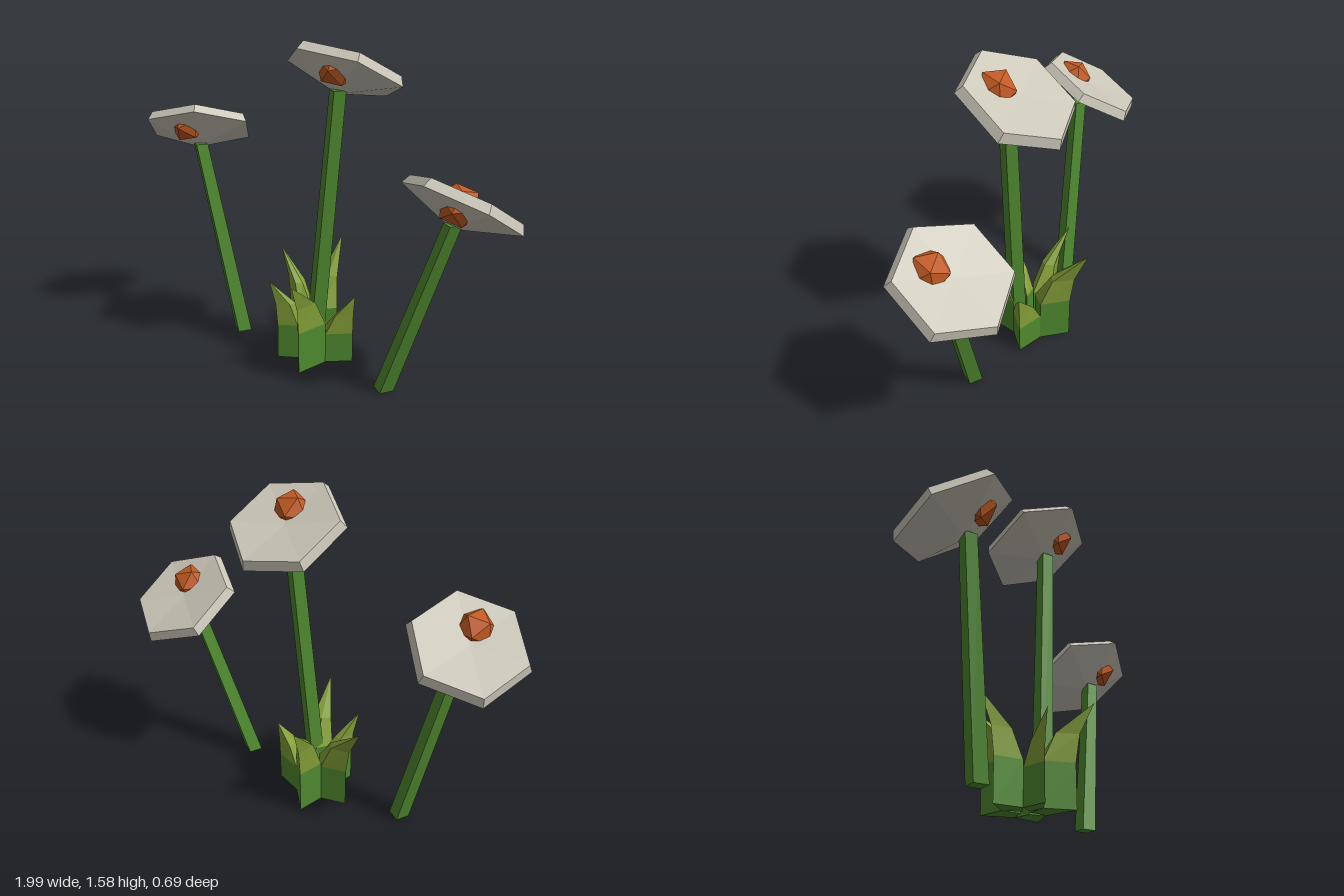
import * as THREE from 'three';

const mat = (name, color) => {
  const m = new THREE.MeshStandardMaterial({ color, flatShading: true });
  m.name = name;
  return m;
};

function addMesh(parent, name, geometry, material) {
  const mesh = new THREE.Mesh(geometry, material);
  mesh.name = name;
  parent.add(mesh);
  return mesh;
}

// Closed solid through rings of points (each ring counter-clockwise from above)
function loft(rings) {
  const n = rings[0].length;
  const pos = rings.flat().flatMap((p) => [p.x, p.y, p.z]);
  const idx = [];
  for (let r = 0; r < rings.length - 1; r++) {
    for (let i = 0; i < n; i++) {
      const a = r * n + i, b = r * n + (i + 1) % n;
      idx.push(a, b, b + n, a, b + n, a + n);
    }
  }
  const top = (rings.length - 1) * n;
  for (let i = 1; i < n - 1; i++) {
    idx.push(0, i + 1, i, top, top + i, top + i + 1);
  }
  const g = new THREE.BufferGeometry();
  g.setAttribute('position', new THREE.Float32BufferAttribute(pos, 3));
  g.setIndex(idx);
  g.computeVertexNormals();
  return g;
}

// Four-sided stem, sheared so that both ends stay level
function stemGeometry(baseX, topX, height, z) {
  const g = new THREE.CylinderGeometry(0.041, 0.049, height, 4);
  g.translate(0, height / 2, z);
  const p = g.attributes.position;
  for (let i = 0; i < p.count; i++) {
    p.setX(i, p.getX(i) + baseX + (topX - baseX) * p.getY(i) / height);
  }
  g.computeVertexNormals();
  return g;
}

export function createModel() {
  const green = mat('stem green', 0x4f8a2f);
  const lime = mat('leaf tip green', 0x84a038);
  const cream = mat('petal cream', 0xcac6b8);
  const orange = mat('heart orange', 0xc25a22);

  const model = new THREE.Group();
  model.name = 'flowers';

  // Shallow hexagonal cup: underside cone, rim, slightly dished top
  const cupProfile = [[0, -0.08], [0.045, -0.08], [0.28, 0], [0.259, 0.045], [0, 0.025]]
    .map(([x, y]) => new THREE.Vector2(x, y));
  const cup = new THREE.LatheGeometry(cupProfile, 6, Math.PI / 2);
  const heart = new THREE.IcosahedronGeometry(0.094, 0);

  const flowers = [
    { name: 'middleFlower', baseX: 0.0, topX: 0.125, height: 1.355, z: 0.062, head: [0.132, 1.42, 0.017], lean: -8 },
    { name: 'rightFlower', baseX: -0.477, topX: -0.692, height: 0.995, z: -0.082, head: [-0.725, 1.057, -0.13], lean: 13 },
    { name: 'leftFlower', baseX: 0.417, topX: 0.702, height: 0.855, z: 0.177, head: [0.72, 0.91, 0.127], lean: -17 },
  ];
  for (const f of flowers) {
    const flower = new THREE.Group();
    flower.name = f.name;
    addMesh(flower, 'stem', stemGeometry(f.baseX, f.topX, f.height, f.z), green);
    const head = new THREE.Group();
    head.name = 'flowerHead';
    head.position.set(...f.head);
    head.rotation.set(THREE.MathUtils.degToRad(-27), 0, THREE.MathUtils.degToRad(f.lean), 'ZXY');
    addMesh(head, 'petalCup', cup, cream);
    addMesh(head, 'heart', heart, orange).position.set(0, 0, 0.1);
    flower.add(head);
    model.add(flower);
  }

  // Leaf clump: outer ridge [x, z], then tip [x, y, z] of each leaf
  const leaves = [
    { ridge: [0, 0.218], tip: [0.01, 0.485, 0.308] },
    { ridge: [0.187, 0], tip: [0.197, 0.35, 0] },
    { ridge: [0, -0.215], tip: [0, 0.535, -0.297] },
    { ridge: [-0.2, -0.1], tip: [-0.275, 0.488, -0.145] },
    { ridge: [-0.165, 0.115], tip: [-0.195, 0.41, 0.137] },
  ];
  // Creases between each leaf and the next
  const creases = [[0.07, 0.065], [0.07, -0.078], [-0.07, -0.1], [-0.1, 0.005], [-0.07, 0.085]];
  const clump = new THREE.Group();
  clump.name = 'leafClump';
  leaves.forEach(({ ridge, tip }, i) => {
    const at = ([x, z], y) => new THREE.Vector3(x, y, z);
    const tipPoint = new THREE.Vector3(...tip);
    const h = tip[1];
    const after = creases[i], before = creases[(i + 4) % 5];
    const inner = ridge.map((c) => c * 0.15);
    const ring = (y) => [at(ridge, y), at(after, y), at(inner, y), at(before, y)];

    // Narrowed section below the point of the leaf
    const y = h * 0.7;
    const outer = at(ridge, y).lerp(at([tip[0], tip[2]], y), 0.22);
    const middle = [
      outer,
      at(after, y).lerp(outer, 0.35),
      at(ridge.map((c) => c * 0.55), y),
      at(before, y).lerp(outer, 0.35),
    ];
    const split = ring(h * 0.43);
    const leaf = new THREE.Group();
    leaf.name = 'leaf';
    addMesh(leaf, 'leafBase', loft([ring(0), split]), green);
    addMesh(leaf, 'leafTip', loft([split, middle, [tipPoint, tipPoint, tipPoint, tipPoint]]), lime);
    clump.add(leaf);
  });
  model.add(clump);
  return model;
}
